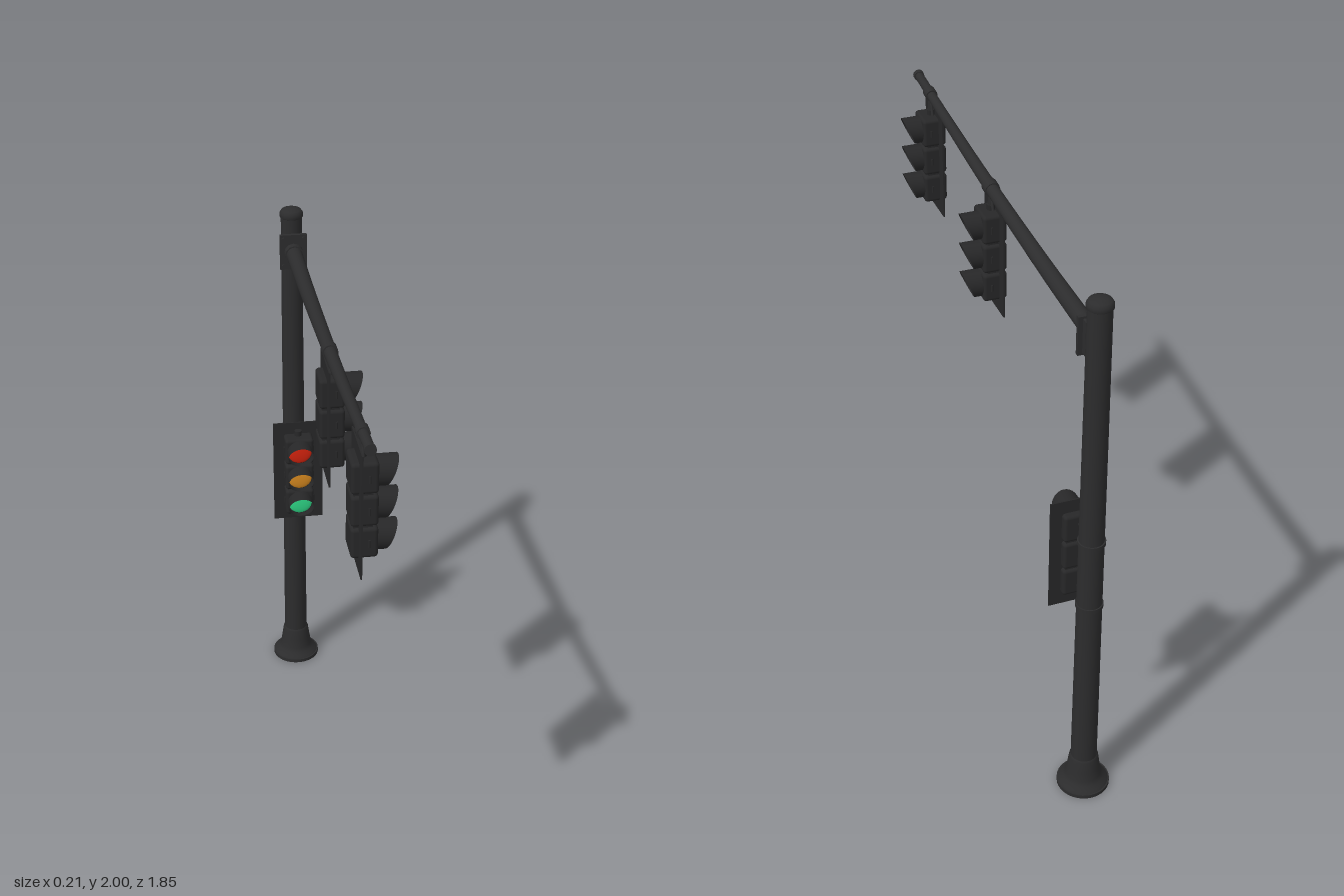
import * as THREE from 'three';
import { RoundedBoxGeometry } from 'three/addons/geometries/RoundedBoxGeometry.js';

const material = (name, color, side = THREE.FrontSide) => {
  const m = new THREE.MeshStandardMaterial({ color, side });
  m.name = name;
  return m;
};

export function createModel() {
  const steel = material('dark steel', 0x2c2c2d);
  const shell = material('signal black', 0x272728, THREE.DoubleSide);
  const lenses = [
    material('red lens', 0xd8240e),
    material('amber lens', 0xd88a20),
    material('green lens', 0x2fd888),
  ];
  const AX = -0.01, PZ = -0.84; // pole axis

  const model = new THREE.Group();
  model.name = 'trafficSignalPole';
  const add = (parent, name, geometry, mat, x = 0, y = 0, z = 0) => {
    const mesh = new THREE.Mesh(geometry, mat);
    mesh.name = name;
    mesh.position.set(x, y, z);
    parent.add(mesh);
    return mesh;
  };
  const lathe = (points) =>
    new THREE.LatheGeometry(points.map(([r, y]) => new THREE.Vector2(r, y)), 32);
  // Straight rod between two points
  const rod = (parent, name, a, b, r, mat) => {
    const from = new THREE.Vector3(...a), to = new THREE.Vector3(...b);
    const mesh = add(parent, name, new THREE.CylinderGeometry(r, r, from.distanceTo(to), 12), mat);
    mesh.position.copy(from).lerp(to, 0.5);
    mesh.quaternion.setFromUnitVectors(new THREE.Vector3(0, 1, 0), to.sub(from).normalize());
  };

  // Pole, flared foot and cap
  add(model, 'pole', new THREE.CylinderGeometry(0.039, 0.046, 1.9, 32), steel, AX, 1.03, PZ);
  add(model, 'footFlange', new THREE.CylinderGeometry(0.093, 0.093, 0.014, 32), steel, AX, 0.007, PZ);
  add(model, 'foot', lathe([[0.088, 0.014], [0.082, 0.022], [0.07, 0.034], [0.063, 0.05],
    [0.057, 0.085], [0.051, 0.128], [0.046, 0.135]]), steel, AX, 0, PZ);
  add(model, 'poleCap', lathe([[0.039, 1.965], [0.043, 1.968], [0.043, 1.982], [0.036, 1.993],
    [0.02, 1.999], [0, 2]]), steel, AX, 0, PZ);

  // Tapered, gently rising arm
  const armCurve = new THREE.CatmullRomCurve3([
    [-0.8, 1.847], [-0.4, 1.857], [0.12, 1.885], [0.55, 1.92], [0.91, 1.956],
  ].map(([z, y]) => new THREE.Vector3(AX, y, z)));
  const armRadius = (t) => THREE.MathUtils.lerp(0.03, 0.016, t);
  const SEG = 32, SIDES = 20;
  const armGeometry = new THREE.TubeGeometry(armCurve, SEG, 1, SIDES);
  const p = armGeometry.attributes.position, v = new THREE.Vector3();
  for (let i = 0; i < p.count; i++) {
    const t = Math.floor(i / (SIDES + 1)) / SEG;
    const c = armCurve.getPointAt(t);
    v.fromBufferAttribute(p, i).sub(c).multiplyScalar(armRadius(t)).add(c);
    p.setXYZ(i, v.x, v.y, v.z);
  }
  add(model, 'arm', armGeometry, steel);
  rod(model, 'armEndCap', [AX, 1.9547, 0.9], [AX, 1.9567, 0.917], 0.019, steel);

  // Arm mounting plate, collar, bolts and strut
  add(model, 'armPlate', new THREE.BoxGeometry(0.1, 0.135, 0.014), steel, AX, 1.848, -0.79);
  add(model, 'plateBracket', new THREE.BoxGeometry(0.07, 0.12, 0.03), steel, AX, 1.848, -0.805);
  rod(model, 'armCollar', [AX, 1.847, -0.785], [AX, 1.848, -0.755], 0.035, steel);
  for (const sx of [-1, 1]) for (const sy of [-1, 1])
    rod(model, 'plateBolt', [AX + sx * 0.038, 1.848 + sy * 0.053, -0.79],
      [AX + sx * 0.038, 1.848 + sy * 0.053, -0.777], 0.007, steel);
  rod(model, 'armStrut', [AX, 1.832, -0.65], [AX, 1.793, -0.785], 0.009, steel);

  // Signal head facing +z, its origin at the middle of the backplate
  const FRONT = 0.058, STEP = 0.1125;
  const visorGeometry = new THREE.CylinderGeometry(0.049, 0.049, 1, 28, 1, true);
  visorGeometry.rotateX(Math.PI / 2);
  const vp = visorGeometry.attributes.position;
  for (let i = 0; i < vp.count; i++) {
    const reach = 0.045 + (vp.getY(i) / 0.049) * 0.021; // longer at the top
    vp.setZ(i, vp.getZ(i) > 0 ? FRONT + reach : FRONT - 0.006);
  }
  visorGeometry.computeVertexNormals();
  const lensGeometry = new THREE.SphereGeometry(0.047, 28, 8, 0, Math.PI * 2, 0, Math.PI / 2);
  lensGeometry.rotateX(Math.PI / 2);
  lensGeometry.scale(1, 1, 0.2);
  const sectionGeometry = new RoundedBoxGeometry(0.11, 0.106, 0.086, 3, 0.012);

  const signalHead = (name) => {
    const head = new THREE.Group();
    head.name = name;
    add(head, 'backplate', new THREE.BoxGeometry(0.192, 0.428, 0.005), shell);
    add(head, 'housingCore', new THREE.BoxGeometry(0.09, 0.32, 0.06), shell, 0, 0, 0.012);
    lenses.forEach((lens, i) => {
      const y = (1 - i) * STEP;
      add(head, 'housingSection', sectionGeometry, shell, 0, y, 0.016);
      add(head, 'visor', visorGeometry, shell, 0, y, 0);
      add(head, 'lens', lensGeometry, lens, 0, y, FRONT);
      for (const s of [-1, 1])
        add(head, 'hinge', new THREE.CylinderGeometry(0.004, 0.004, 0.025, 8), shell, s * 0.056, y, 0.03);
    });
    add(head, 'topFitting', new THREE.CylinderGeometry(0.014, 0.014, 0.022, 16), shell, 0, 0.174, 0.014);
    model.add(head);
    return head;
  };

  // Signal on the pole, with its two brackets and bands
  signalHead('poleSignal').position.set(AX, 0.957, -0.717);
  for (const y of [0.825, 1.087]) {
    rod(model, 'poleBracket', [AX, y, -0.735], [AX, y, -0.81], 0.008, steel);
    add(model, 'poleBand', new THREE.CylinderGeometry(0.047, 0.047, 0.014, 32), steel, AX, y, PZ);
  }

  // Signals hanging from the arm, facing +x
  for (const [z, y, armY] of [[0.773, 1.695, 1.942], [0.118, 1.637, 1.885]]) {
    const head = signalHead('armSignal');
    head.position.set(-0.024, y, z);
    head.rotation.y = Math.PI / 2;
    const r = z > 0.5 ? 0.022 : 0.027;
    rod(model, 'armClamp', [AX, armY - 0.0015, z - 0.02], [AX, armY + 0.0015, z + 0.02], r, steel);
    rod(model, 'hangerStem', [AX, armY, z], [AX, y + 0.165, z], 0.009, steel);
    for (const s of [-1, 1])
      rod(model, 'hangerStrap', [AX, armY - 0.025, z + s * 0.005], [AX, y + 0.17, z + s * 0.022], 0.005, steel);
  }
  return model;
}
